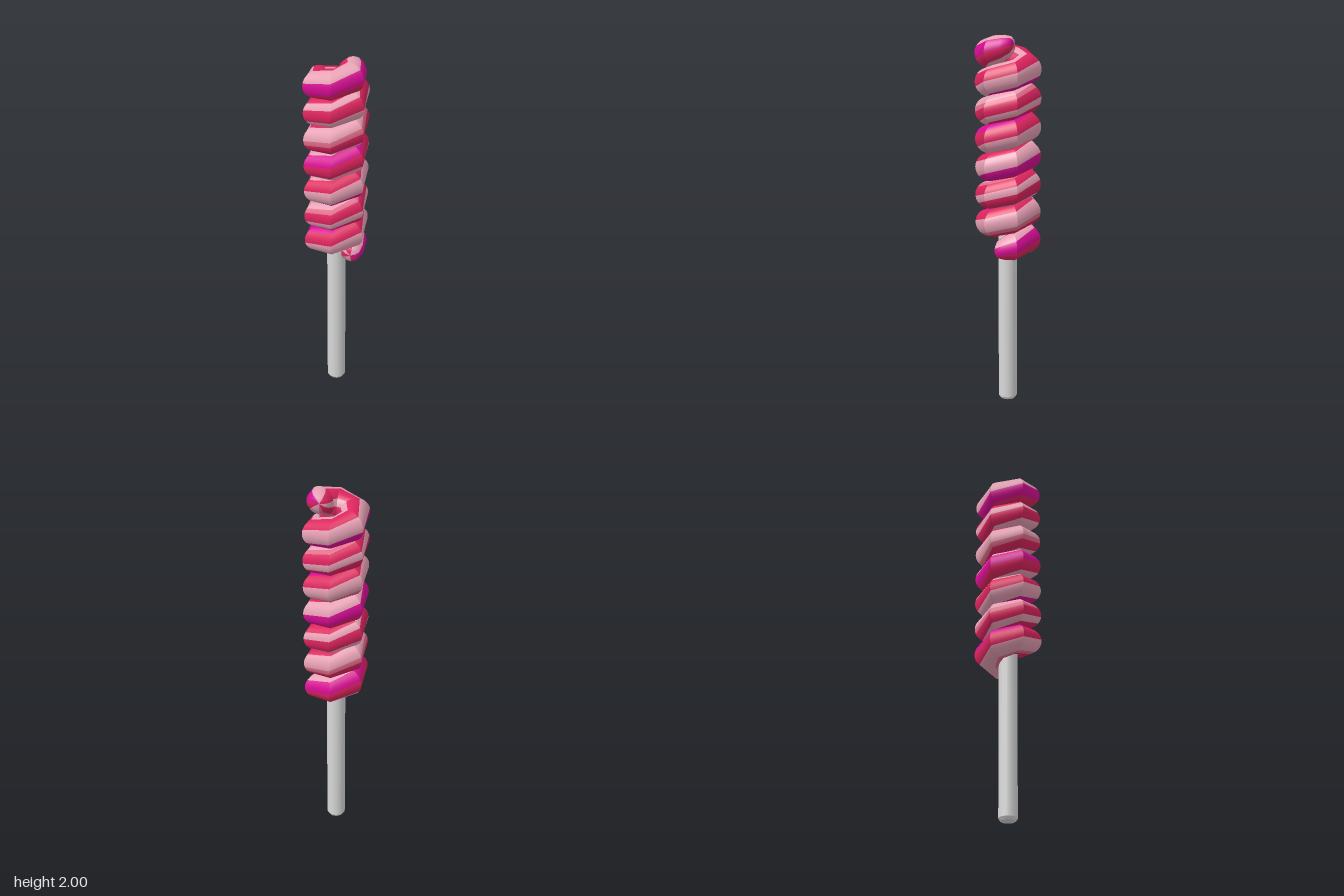
import * as THREE from 'three';

const TURN = Math.PI / 3;          // six corners per turn
const START = THREE.MathUtils.degToRad(40);
const LAST = 41;                   // index of the last corner
const PITCH = 0.151;
const SIDES = 36;

// Stripe bands round the tube: end angle in degrees, material index
const BANDS = [
  [25, 2], [85, 0], [135, 1], [165, 0], [205, 1], [225, 3], [285, 0], [335, 1], [360, 2],
];

function corner(i) {
  const a = START + i * TURN;
  return new THREE.Vector3(0.095 * Math.cos(a), 0.89 + i * PITCH / 6, -0.095 * Math.sin(a));
}

// Centre line made of straight runs between the corners
function centre(k) {
  const i = Math.floor(k);
  return corner(i).lerp(corner(i + 1), k - i);
}

// One cross-section: k = place on the path, face = direction it is cut in, s = scale
function ring(k, s = 1, face = k) {
  const c = centre(k), a = START + face * TURN;
  const twist = (k * 60 + 40 - 2430) * 107 / 360;
  const points = [];
  for (let j = 0; j < SIDES; j++) {
    const phi = THREE.MathUtils.degToRad(5 + j * 10 + twist);
    const r = 0.084 * s * Math.cos(phi);
    points.push(c.x + r * Math.cos(a), c.y + 0.078 * s * Math.sin(phi), c.z - r * Math.sin(a));
  }
  return points;
}

function candyGeometry() {
  // Each strip is smooth inside and creased against its neighbours
  const strips = [];
  strips.push([
    ring(-1.0, 0.001, -0.5), ring(-0.97, 0.35, -0.5), ring(-0.86, 0.6, -0.5),
    ring(-0.5, 0.8, -0.4), ring(0, 0.96),
  ]);
  for (let i = 0; i < LAST; i++) {
    strips.push([ring(i, i === 0 ? 0.96 : 1), ring(i + 1, i + 1 === LAST ? 0.97 : 1)]);
  }
  strips.push([
    ring(LAST, 0.97), ring(LAST + 0.5, 0.85, LAST + 0.4), ring(LAST + 0.88, 0.65, LAST + 0.5),
    ring(LAST + 1.04, 0.4, LAST + 0.5), ring(LAST + 1.1, 0.001, LAST + 0.5),
  ]);

  const positions = [];
  const faces = [[], [], [], []];
  for (const strip of strips) {
    const base = positions.length / 3;
    for (const r of strip) positions.push(...r);
    for (let i = 0; i < strip.length - 1; i++) {
      for (let j = 0; j < SIDES; j++) {
        const angle = (10 + j * 10) % 360;
        const colour = BANDS.find((b) => angle < b[0])[1];
        const next = (j + 1) % SIDES;
        const a = base + i * SIDES + j, b = base + i * SIDES + next;
        faces[colour].push(a, a + SIDES, b + SIDES, a, b + SIDES, b);
      }
    }
  }
  const geometry = new THREE.BufferGeometry();
  geometry.setAttribute('position', new THREE.Float32BufferAttribute(positions, 3));
  geometry.setIndex(faces.flat());
  let offset = 0;
  faces.forEach((list, m) => {
    geometry.addGroup(offset, list.length, m);
    offset += list.length;
  });
  geometry.computeVertexNormals();
  return geometry;
}

function material(name, color) {
  const m = new THREE.MeshStandardMaterial({ color });
  m.name = name;
  return m;
}

export function createModel() {
  const model = new THREE.Group();
  model.name = 'twistedLollipop';

  // Striped candy coil
  const candy = new THREE.Mesh(candyGeometry(), [
    material('lightPink', 0xe6a0b4),
    material('crimson', 0xdc245e),
    material('magenta', 0xd80d94),
    material('midPink', 0xe06c88),
  ]);
  candy.name = 'candyCoil';
  model.add(candy);

  // Stick with a bevelled foot, running up inside the coil
  const white = material('stickWhite', 0xd8d8d8);
  const shaft = new THREE.Mesh(new THREE.CylinderGeometry(0.05, 0.05, 1.685, 16), white);
  shaft.position.y = 0.015 + 1.685 / 2;
  shaft.name = 'stick';
  const foot = new THREE.Mesh(new THREE.CylinderGeometry(0.05, 0.04, 0.015, 16), white);
  foot.position.y = 0.0075;
  foot.name = 'stickFoot';
  model.add(shaft, foot);

  return model;
}
